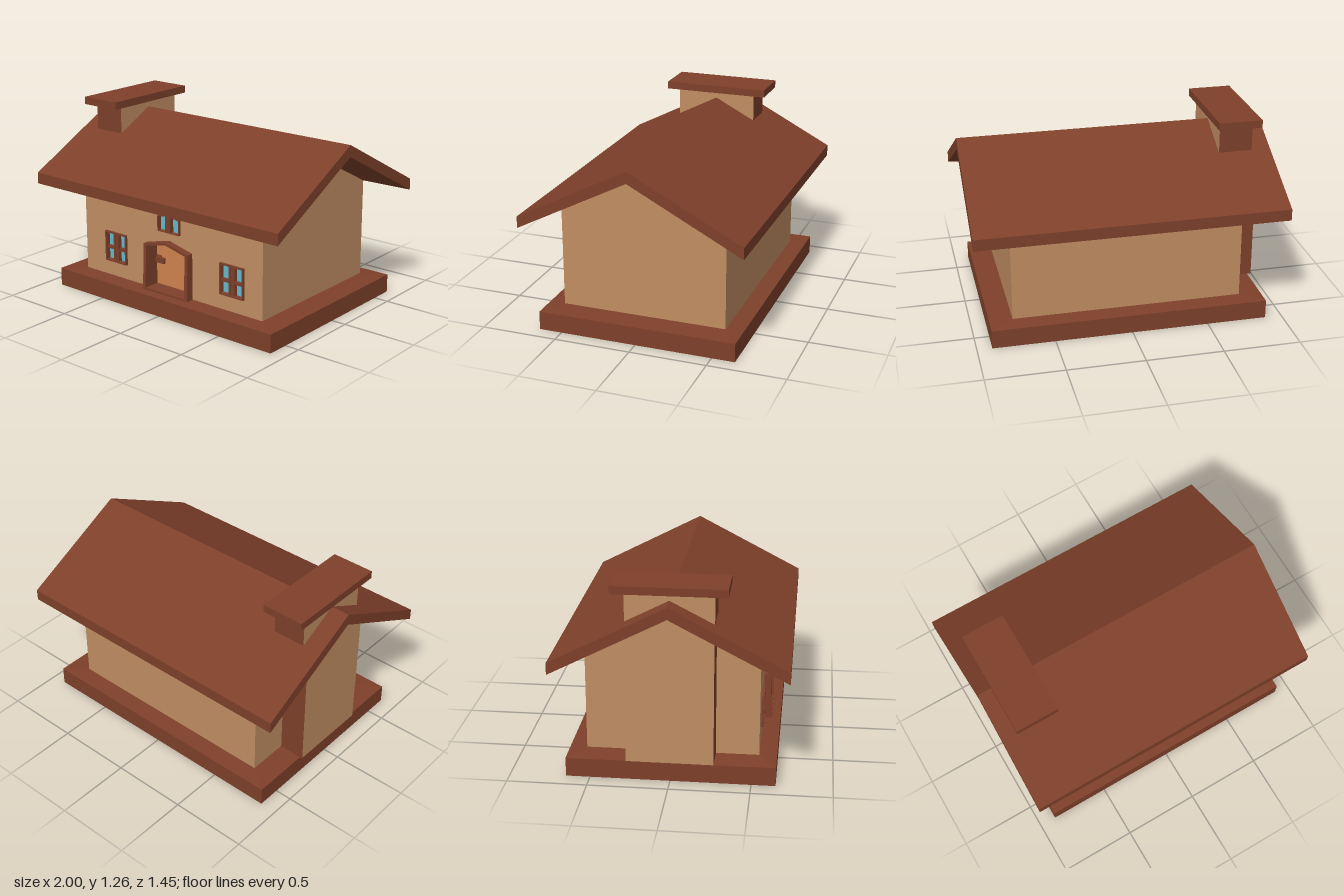
import * as THREE from 'three';

const mat = (name, color) => new THREE.MeshStandardMaterial({ name, color, flatShading: true });

export function createModel() {
  const brown = mat('brown wood', 0x7e402a);
  const tan = mat('tan plaster', 0xc08d62);
  const orange = mat('orange door', 0xd0834e);
  const glass = mat('blue glass', 0x62bacc);

  const house = new THREE.Group();
  house.name = 'cottage';

  const addGroup = (name) => {
    const group = new THREE.Group();
    group.name = name;
    house.add(group);
    return group;
  };
  const add = (name, geometry, material, parent = house) => {
    const mesh = new THREE.Mesh(geometry, material);
    mesh.name = name;
    parent.add(mesh);
  };
  // Box given by its limits on each axis
  const box = (x0, x1, y0, y1, z0, z1) =>
    new THREE.BoxGeometry(x1 - x0, y1 - y0, z1 - z0)
      .translate((x0 + x1) / 2, (y0 + y1) / 2, (z0 + z1) / 2);
  const outline = (Type, points) => new Type(points.map(([x, y]) => new THREE.Vector2(x, y)));
  const rect = (Type, x0, x1, y0, y1) => outline(Type, [[x0, y0], [x1, y0], [x1, y1], [x0, y1]]);
  // Rectangle with a peaked top
  const peaked = (Type, x0, x1, y0, shoulder, peak) =>
    outline(Type, [[x0, y0], [x1, y0], [x1, shoulder], [(x0 + x1) / 2, peak], [x0, shoulder]]);
  // Rectangle with an arched top
  const arch = (Type, cx, x, y0, y1, y2) => {
    const a = new Type();
    a.moveTo(cx - x, y0);
    a.lineTo(cx + x, y0);
    a.lineTo(cx + x, y1);
    a.quadraticCurveTo(cx, 2 * y2 - y1, cx - x, y1);
    a.lineTo(cx - x, y0);
    return a;
  };
  const slab = (shape, z0, z1, ...holes) => {
    shape.holes.push(...holes);
    return new THREE.ExtrudeGeometry(shape, { depth: z1 - z0, bevelEnabled: false }).translate(0, 0, z0);
  };
  // Surface made of four-cornered faces, corners counter-clockwise from outside
  const faces = (quads) => {
    const geometry = new THREE.BufferGeometry();
    const pts = quads.flatMap(([a, b, c, d]) => [a, b, c, a, c, d].flat());
    geometry.setAttribute('position', new THREE.Float32BufferAttribute(pts, 3));
    geometry.computeVertexNormals();
    return geometry;
  };
  const { Shape, Path } = THREE;
  const wallL = 0.755, wallR = -0.74, wallZ = 0.54, foot = 0.132;

  // Base: rings from a shallow hollow underneath, up the sides and in to the walls
  const ring = (x0, x1, y, z) => [[x0, y, z], [x1, y, z], [x1, y, -z], [x0, y, -z]];
  const rings = [
    ring(wallR, wallL, 0.008, wallZ), ring(-0.89, 0.903, 0, 0.65),
    ring(-0.89, 0.903, 0.122, 0.65), ring(wallR, wallL, foot, wallZ),
  ];
  const baseFaces = [[...rings[0]].reverse()];
  for (let r = 0; r < 3; r++) {
    for (let i = 0; i < 4; i++) {
      const j = (i + 1) % 4;
      baseFaces.push([rings[r][i], rings[r][j], rings[r + 1][j], rings[r + 1][i]]);
    }
  }
  add('base', faces(baseFaces), brown);

  // Side and back walls; the right gable is left open behind the chimney
  const wallTop = (z) => 1.055 - (0.275 * Math.abs(z)) / wallZ;
  const gableStrip = (x, z0, z1, lift = 0) => {
    const strip = [[x, foot, z0], [x, foot, z1], [x, wallTop(z1) + lift, z1], [x, wallTop(z0) + lift, z0]];
    return strip;
  };
  add('walls', faces([
    gableStrip(wallL, wallZ, 0), gableStrip(wallL, 0, -wallZ),
    gableStrip(wallR, -wallZ, -0.27), gableStrip(wallR, 0.27, wallZ),
    [[wallL, foot, -wallZ], [wallR, foot, -wallZ], [wallR, 0.78, -wallZ], [wallL, 0.78, -wallZ]],
  ]), tan);

  // Front wall with openings
  const windows = [['rightWindow', -0.458], ['leftWindow', 0.522]];
  const front = rect(Shape, wallR, wallL, foot, 0.78);
  front.holes.push(
    peaked(Path, -0.17, 0.188, 0.136, 0.433, 0.474),
    arch(Path, 0.01, 0.087, 0.543, 0.638, 0.65),
    ...windows.map(([, cx]) => rect(Path, cx - 0.088, cx + 0.088, 0.238, 0.436)),
  );
  add('frontWall', new THREE.ShapeGeometry(front).translate(0, 0, wallZ), tan);

  // Roof: one quarter mirrored four ways, with soffits sloping in to the walls
  const roofFaces = [];
  for (const s of [1, -1]) for (const t of [1, -1]) {
    const p = (x, y, z) => [x * t, y, z * s];
    const w = t > 0 ? wallL : -wallR;
    const A = p(0, 1.17, 0), B = p(0, 0.795, 0.724), C = p(1, 0.795, 0.724), D = p(1, 1.17, 0);
    const b = p(0, 0.72, 0.724), c = p(1, 0.72, 0.724), d = p(1, 1.095, 0);
    const W0 = p(0, 0.78, wallZ), W = p(w, 0.78, wallZ), R = p(w, 1.055, 0);
    for (const quad of [[A, B, C, D], [B, b, c, C], [C, c, d, D], [b, W0, W, c], [c, W, R, d]]) {
      roofFaces.push(s * t > 0 ? quad : quad.reverse());
    }
  }
  add('roof', faces(roofFaces), brown);

  // Chimney: plaster on the broad sides, brown on the narrow ones
  const chimney = addGroup('chimney');
  const out = -0.912;
  add('chimneyBreast', faces([gableStrip(out, -0.27, 0, 0.035), gableStrip(out, 0, 0.27, 0.035)]), tan, chimney);
  add('chimneyBreastSides', faces([1, -1].map((s) => {
    const z = 0.27 * s, top = wallTop(z) + 0.035;
    const side = [[out, foot - 0.006, z], [wallR, foot, z], [wallR, top, z], [out, top, z]];
    return s > 0 ? side : side.reverse();
  })), brown, chimney);
  const stack = outline(Shape, [[-0.27, 1.02], [0, 1.16], [0.27, 1.02], [0.27, 1.215], [-0.27, 1.215]]);
  add('chimneyStack', slab(stack, -0.875, -0.655).rotateY(Math.PI / 2), [tan, brown], chimney);
  add('chimneyCap', box(out, -0.628, 1.21, 1.26, -0.35, 0.35), brown, chimney);

  // Recessed door in a deep peaked frame that leans out at the foot
  const door = addGroup('door');
  const frame = slab(peaked(Shape, -0.179, 0.197, 0.13, 0.44, 0.485), 0.472, 0.585,
    peaked(Path, -0.157, 0.172, 0.143, 0.428, 0.466));
  const fp = frame.attributes.position;
  for (let i = 0; i < fp.count; i++) {
    if (fp.getZ(i) > 0.56 && fp.getY(i) < 0.2) fp.setZ(i, 0.595);
  }
  add('doorFrame', frame, brown, door);
  add('doorPanel', slab(peaked(Shape, -0.165, 0.18, 0.135, 0.433, 0.472), 0.473, 0.481), orange, door);
  add('handlePlate', box(-0.155, -0.112, 0.293, 0.342, 0.478, 0.49), brown, door);
  add('handleLever', box(-0.145, -0.075, 0.298, 0.335, 0.488, 0.508), brown, door);

  // Front windows: two casements side by side, each with two panes
  for (const [name, cx] of windows) {
    const win = addGroup(name);
    add('windowFrame', slab(rect(Shape, -0.093, 0.093, 0.234, 0.441), 0.51, 0.557,
      rect(Path, -0.083, 0.083, 0.244, 0.431)), brown, win);
    add('windowGlass', box(-0.085, 0.085, 0.242, 0.433, 0.516, 0.524), glass, win);
    for (const s of [-1, 1]) {
      add('casementStile', box(s * 0.0145 - 0.008, s * 0.0145 + 0.008, 0.242, 0.433, 0.518, 0.55), brown, win);
    }
    add('windowMullion', box(-0.008, 0.008, 0.242, 0.433, 0.518, 0.545), brown, win);
    add('windowCrossbar', box(-0.085, 0.085, 0.319, 0.339, 0.518, 0.545), brown, win);
    win.position.x = cx;
  }

  // Small arched window above the door
  const attic = addGroup('upperWindow');
  add('upperFrame', slab(arch(Shape, 0.01, 0.09, 0.54, 0.642, 0.654), 0.51, 0.558,
    arch(Path, 0.01, 0.085, 0.544, 0.637, 0.648)), brown, attic);
  add('upperGlass', slab(arch(Shape, 0.01, 0.087, 0.542, 0.639, 0.651), 0.518, 0.526), glass, attic);
  add('upperMullion', box(-0.014, 0.028, 0.543, 0.649, 0.519, 0.556), brown, attic);

  return house;
}
